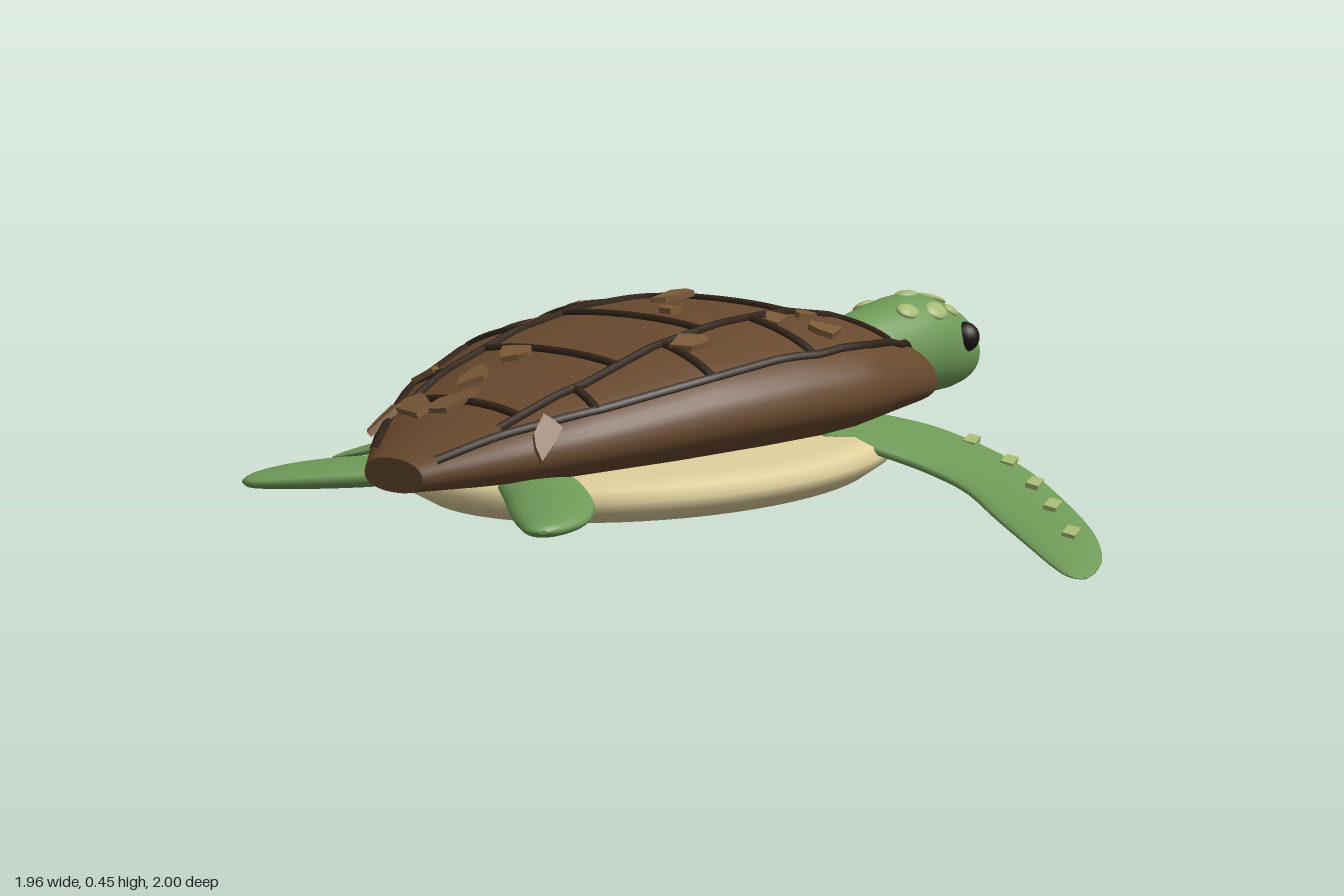
import * as THREE from 'three';

const mat = (color, extra = {}) => new THREE.MeshStandardMaterial({ color, ...extra });
const GREEN = mat(0x6f9a58), SHELL = mat(0x68492e), CREAM = mat(0xdfcf9c), SEAM = mat(0x33241a);
const FLAKE = mat(0x7a5a38, { flatShading: true }), SCALE = mat(0xa5b873), NOSE = mat(0x605a48), EYE = mat(0x1c1512);
const UP = new THREE.Vector3(0, 1, 0);

// Linear lookup in rows of [key, a, b, ...]
function sample(rows, k) {
  let i = 0;
  while (i < rows.length - 2 && k > rows[i + 1][0]) i++;
  const a = rows[i], b = rows[i + 1];
  const t = THREE.MathUtils.clamp((k - a[0]) / (b[0] - a[0]), 0, 1);
  return a.map((v, j) => v + (b[j] - v) * t);
}

// Skin closed rings of Vector3 and cap both ends; winding is turned outwards
function loft(rings) {
  const n = rings[0].length, pos = [], idx = [];
  rings.forEach(r => r.forEach(p => pos.push(p.x, p.y, p.z)));
  for (let i = 0; i < rings.length - 1; i++) for (let j = 0; j < n; j++) {
    const a = i * n + j, b = i * n + (j + 1) % n;
    idx.push(a, b, a + n, b, b + n, a + n);
  }
  for (const [r, flip] of [[rings[0], true], [rings[rings.length - 1], false]]) {
    const c = r.reduce((s, p) => s.add(p), new THREE.Vector3()).divideScalar(n);
    const o = pos.length / 3;
    pos.push(c.x, c.y, c.z);
    r.forEach(p => pos.push(p.x, p.y, p.z));
    for (let j = 0; j < n; j++) {
      const a = o + 1 + j, b = o + 1 + (j + 1) % n;
      idx.push(o, flip ? b : a, flip ? a : b);
    }
  }
  const at = i => new THREE.Vector3().fromArray(pos, i * 3);
  let volume = 0;
  for (let i = 0; i < idx.length; i += 3) volume += at(idx[i]).dot(at(idx[i + 1]).cross(at(idx[i + 2])));
  if (volume < 0) idx.reverse();
  const g = new THREE.BufferGeometry();
  g.setAttribute('position', new THREE.Float32BufferAttribute(pos, 3));
  g.setIndex(idx);
  g.computeVertexNormals();
  return g;
}

// Shell stations: x, half width, top, widest level, bottom
const SHELL_ROWS = [
  [-0.95, 0.075, 0.25, 0.215, 0.185], [-0.82, 0.18, 0.305, 0.235, 0.18], [-0.66, 0.275, 0.36, 0.255, 0.175],
  [-0.4, 0.37, 0.42, 0.28, 0.17], [-0.2, 0.415, 0.443, 0.288, 0.167], [-0.03, 0.435, 0.443, 0.29, 0.165],
  [0.05, 0.43, 0.438, 0.29, 0.165], [0.2, 0.39, 0.413, 0.28, 0.17], [0.38, 0.325, 0.355, 0.255, 0.175],
  [0.55, 0.155, 0.262, 0.22, 0.18]];
const POWER = 2.25;
function shellPoint(x, z, lift = 0) {
  const [, w, top, mid] = sample(SHELL_ROWS, x);
  const k = Math.min(Math.abs(z) / w, 0.995);
  return new THREE.Vector3(x, mid + (top - mid) * Math.pow(1 - k ** POWER, 1 / POWER) + lift, z);
}
function shellNormal(x, z) {
  const e = 0.015;
  const dx = shellPoint(x + e, z).sub(shellPoint(x - e, z));
  const dz = shellPoint(x, z + e).sub(shellPoint(x, z - e));
  return dz.cross(dx).normalize();
}

// Head stations: x, centre height, vertical radius, side radius
const HEAD_ROWS = [[0.455, 0.243, 0.098, 0.085], [0.55, 0.25, 0.107, 0.1], [0.64, 0.257, 0.114, 0.108],
  [0.71, 0.262, 0.117, 0.111], [0.78, 0.258, 0.113, 0.111], [0.85, 0.246, 0.102, 0.102],
  [0.9, 0.236, 0.086, 0.087], [0.935, 0.225, 0.067, 0.067], [0.955, 0.22, 0.045, 0.045]];

// Flipper sections: front edge x, z, back edge x, z, height, half thickness
const FRONT_FLIPPER = [[0.25, 0.27, 0.0, 0.3, 0.19, 0.025], [0.31, 0.38, 0.035, 0.4, 0.165, 0.025],
  [0.333, 0.48, 0.068, 0.5, 0.135, 0.024], [0.305, 0.6, 0.065, 0.6, 0.107, 0.021],
  [0.215, 0.75, 0.0, 0.72, 0.075, 0.018], [0.09, 0.9, -0.075, 0.85, 0.045, 0.014],
  [0.0, 0.97, -0.12, 0.94, 0.022, 0.01], [-0.06, 0.993, -0.127, 0.975, 0.013, 0.006],
  [-0.1, 1.0, -0.115, 0.995, 0.009, 0.002]];
const REAR_FLIPPER = [[-0.64, 0.19, -0.77, 0.1, 0.178, 0.025], [-0.7, 0.27, -0.83, 0.17, 0.172, 0.028],
  [-0.78, 0.35, -0.9, 0.245, 0.168, 0.026], [-0.86, 0.395, -0.955, 0.315, 0.164, 0.02],
  [-0.93, 0.4, -0.982, 0.36, 0.162, 0.012], [-0.96, 0.393, -0.976, 0.382, 0.162, 0.003]];

function flipper(rows, side) {
  const line = (a, b, c) => new THREE.CatmullRomCurve3(rows.map(r => new THREE.Vector3(r[a], r[b], r[c])));
  const front = line(0, 4, 1), back = line(2, 5, 3), rings = [];
  for (let i = 0; i <= 28; i++) {
    const f = front.getPoint(i / 28), b = back.getPoint(i / 28), ring = [];
    for (let j = 0; j < 20; j++) {
      const a = j / 20 * Math.PI * 2, k = (1 + Math.cos(a)) / 2;
      ring.push(new THREE.Vector3(b.x + (f.x - b.x) * k, f.y + b.y * Math.sin(a), side * (b.z + (f.z - b.z) * k)));
    }
    rings.push(ring);
  }
  return loft(rings);
}

export function createModel() {
  const model = new THREE.Group();
  const add = (name, geometry, material, parent = model) => {
    const m = new THREE.Mesh(geometry, material);
    m.name = name;
    parent.add(m);
    return m;
  };
  const group = name => {
    const g = new THREE.Group();
    g.name = name;
    model.add(g);
    return g;
  };

  // Domed upper shell
  add('shell', loft(SHELL_ROWS.map(([x, w, top, mid, low]) => Array.from({ length: 48 }, (_, j) => {
    const a = j / 48 * Math.PI * 2, c = Math.cos(a), s = Math.sin(a), p = 2 / POWER;
    const y = s > 0 ? (top - mid) * s ** p : -(mid - low) * Math.abs(s) ** p;
    return new THREE.Vector3(x, mid + y, w * Math.sign(c) * Math.abs(c) ** p);
  }))), SHELL);

  // Flat belly plate
  const profile = [[0, 0.08], [0.5, 0.081], [0.76, 0.087], [0.9, 0.102], [0.98, 0.128], [1, 0.15], [0.97, 0.172],
    [0.88, 0.188], [0, 0.195]].map(p => new THREE.Vector2(...p));
  const belly = add('belly', new THREE.LatheGeometry(profile, 64).scale(0.6, 1, 0.445), CREAM);
  belly.position.x = -0.18;

  // Dark seams between the shell plates
  const seams = group('shellSeams');
  const seam = pts => add('seam', new THREE.TubeGeometry(
    new THREE.CatmullRomCurve3(pts.map(([x, z]) => shellPoint(x, z, 0.002))), 40, 0.0095, 6), SEAM, seams);
  const across = (x0, z0, x1, z1) => seam(Array.from({ length: 9 }, (_, i) => [x0 + (x1 - x0) * i / 8, z0 + (z1 - z0) * i / 8]));
  const along = (rows, s) => seam(Array.from({ length: 25 }, (_, i) => {
    const x = rows[0][0] + (rows[rows.length - 1][0] - rows[0][0]) * i / 24;
    return [x, s * sample(rows, x)[1]];
  }));
  for (const s of [-1, 1]) {
    along([[-0.8, 0.13], [-0.6, 0.17], [-0.2, 0.185], [0.1, 0.182], [0.39, 0.16]], s);
    along([[-0.92, 0.08], [-0.65, 0.235], [-0.4, 0.32], [-0.1, 0.37], [0.05, 0.37], [0.25, 0.315], [0.48, 0.19]], s);
    for (const [x, z0, z1] of [[-0.63, 0.165, 0.24], [-0.38, 0.18, 0.32], [-0.11, 0.185, 0.365], [0.22, 0.175, 0.32]])
      across(x + 0.01, s * z0, x - 0.01, s * z1);
  }
  for (const [x, z] of [[-0.75, 0.135], [-0.5, 0.175], [-0.25, 0.185], [0.035, 0.182], [0.3, 0.17]])
    across(x, -z, x, z);

  // Loose flakes on the shell: x, z, length, width, turn
  const flakes = group('shellFlakes');
  [[0.0, -0.33, 0.06, 0.035, 0.2], [0.07, -0.31, 0.04, 0.03, 1], [0.27, -0.29, 0.05, 0.045, 0.6],
    [0.35, -0.23, 0.05, 0.03, 1.8], [-0.03, -0.07, 0.06, 0.035, 0.1], [-0.19, 0.05, 0.075, 0.025, 0.9],
    [-0.33, 0.22, 0.06, 0.035, -0.5], [-0.07, 0.23, 0.035, 0.03, 0.4], [0.03, 0.23, 0.045, 0.03, 0.7],
    [-0.01, 0.31, 0.05, 0.035, -0.2], [0.39, 0.02, 0.05, 0.035, 1.5], [0.36, 0.06, 0.045, 0.02, 1.2],
    [-0.67, -0.05, 0.045, 0.03, 0.3], [-0.54, -0.06, 0.045, 0.035, 1.3], [-0.75, 0.205, 0.06, 0.03, 0.4],
    [-0.79, -0.09, 0.06, 0.04, 1.1], [-0.77, -0.02, 0.06, 0.03, -0.6], [-0.62, -0.22, 0.045, 0.03, 0.9],
    [-0.81, -0.15, 0.055, 0.03, -0.3]].forEach(([x, z, l, w, turn], i) => {
    const shape = new THREE.Shape(Array.from({ length: 7 }, (_, j) => {
      const a = j / 7 * Math.PI * 2, r = 0.85 + 0.25 * Math.sin(j * 2.3 + i * 1.7);
      return new THREE.Vector2(Math.cos(a) * l * r, Math.sin(a) * w * r);
    }));
    const g = new THREE.ExtrudeGeometry(shape, { depth: 0.012, bevelEnabled: false });
    g.rotateX(-Math.PI / 2).rotateZ(0.12 * Math.sin(i * 2.1)).rotateY(turn);
    const m = add('flake', g, FLAKE, flakes);
    m.position.copy(shellPoint(x, z, 0.002));
    m.quaternion.setFromUnitVectors(UP, shellNormal(x, z));
  });

  // Neck and head in one skin
  const head = group('head');
  const headCurve = new THREE.CatmullRomCurve3(HEAD_ROWS.map(r => new THREE.Vector3(r[0], r[1], r[2])));
  add('headAndNeck', loft(Array.from({ length: 25 }, (_, i) => {
    const p = headCurve.getPoint(i / 24), rz = sample(HEAD_ROWS, p.x)[3];
    return Array.from({ length: 32 }, (_, j) => {
      const a = j / 32 * Math.PI * 2;
      return new THREE.Vector3(p.x, p.y + p.z * Math.sin(a), rz * Math.cos(a));
    });
  })), GREEN, head);
  add('snout', new THREE.SphereGeometry(1, 24, 16).scale(0.042, 0.054, 0.054), NOSE, head).position.set(0.933, 0.215, 0);
  for (const s of [-1, 1])
    add('eye', new THREE.SphereGeometry(0.035, 20, 14), EYE, head).position.set(0.836, 0.275, s * 0.089);

  // Pale scales on the crown
  const crown = [[0.73, 0, 0.034, 0.022], [0.82, 0, 0.048, 0.036]];
  for (const s of [-1, 1]) crown.push([0.65, s * 0.06, 0.034, 0.024], [0.74, s * 0.075, 0.036, 0.026], [0.81, s * 0.067, 0.026, 0.018]);
  for (const [x, z, l, w] of crown) {
    const [, yc, ry, rz] = sample(HEAD_ROWS, x);
    const y = ry * Math.sqrt(1 - (z / rz) ** 2);
    const m = add('headScale', new THREE.SphereGeometry(1, 16, 10).scale(l, 0.01, w), SCALE, head);
    m.position.set(x, yc + y, z);
    m.quaternion.setFromUnitVectors(UP, new THREE.Vector3(x > 0.78 ? 0.3 : 0, y / ry, z / rz).normalize());
  }

  // Flippers, with a row of pale scales near the front edge
  for (const s of [-1, 1]) {
    const label = s > 0 ? 'Left' : 'Right';
    add('frontFlipper' + label, flipper(FRONT_FLIPPER, s), GREEN);
    add('rearFlipper' + label, flipper(REAR_FLIPPER, s), GREEN);
    const scales = group('flipperScales' + label);
    for (const [x, z, y] of [[0.295, 0.47, 0.155], [0.27, 0.58, 0.128], [0.195, 0.69, 0.107], [0.12, 0.78, 0.085], [0.03, 0.88, 0.058]]) {
      const m = add('flipperScale', new THREE.BoxGeometry(0.056, 0.014, 0.026), SCALE, scales);
      m.position.set(x, y, s * z);
      m.rotation.set(s * 0.24, s * 0.35, 0);
    }
  }
  return model;
}
